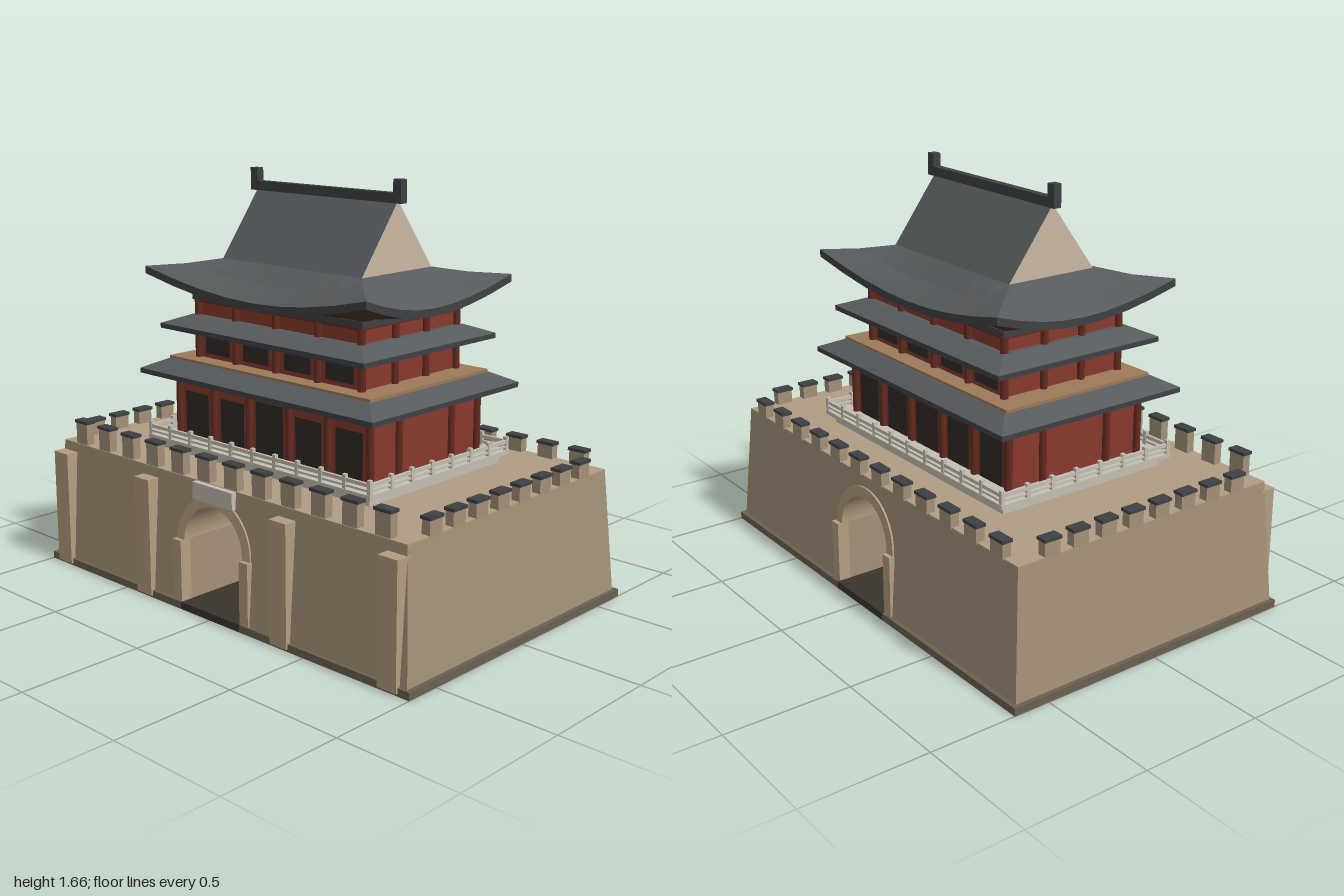
import * as THREE from 'three';

const mat = (color, side = THREE.FrontSide) => new THREE.MeshStandardMaterial({ color, flatShading: true, side });
const M = {
  wall: mat(0xa39178), trim: mat(0xb39e80), plinth: mat(0x6a604f), paving: mat(0x3a342c),
  deck: mat(0xb09c82), tile: mat(0x585b5d, THREE.DoubleSide), ridge: mat(0x3e4143),
  red: mat(0x873a2b), column: mat(0x642a1f), opening: mat(0x2f2a26), stone: mat(0xc4bfb2),
  soffit: mat(0x4a3425, THREE.DoubleSide), gable: mat(0xcab8a2), ledge: mat(0x9c7a58),
};

export function createModel() {
  const root = new THREE.Group();
  const add = (name, geo, material, parent = root) => {
    const m = new THREE.Mesh(geo, material);
    m.name = name;
    parent.add(m);
    return m;
  };
  const group = (name) => {
    const g = new THREE.Group();
    g.name = name;
    root.add(g);
    return g;
  };
  // Box given by centre x, z, its bottom and top, and its size in x and z
  const box = (name, x, z, y0, y1, w, d, material, parent) => {
    const m = add(name, new THREE.BoxGeometry(w, y1 - y0, d), material, parent);
    m.position.set(x, (y0 + y1) / 2, z);
    return m;
  };
  // Rectangular loop; lift raises and flare pushes out the corners
  const ring = (hx, hz, y, lift = 0, flare = 0, n = 8) => {
    const pts = [];
    for (let k = 0; k < 4; k++) for (let j = 0; j < n; j++) {
      const t = -1 + 2 * j / n, f = 1 + flare * t * t, Y = y + lift * t * t;
      const [x, z] = [[t * hx, hz], [hx, -t * hz], [-t * hx, -hz], [-hx, t * hz]][k];
      pts.push([x * f, Y, z * f]);
    }
    return pts;
  };
  // Skin between successive loops
  const loft = (rings) => {
    const pos = [];
    for (let r = 0; r + 1 < rings.length; r++) {
      const a = rings[r], b = rings[r + 1], n = a.length;
      for (let i = 0; i < n; i++) {
        const j = (i + 1) % n;
        pos.push(...a[i], ...a[j], ...b[j], ...a[i], ...b[j], ...b[i]);
      }
    }
    const g = new THREE.BufferGeometry();
    g.setAttribute('position', new THREE.Float32BufferAttribute(pos, 3));
    g.computeVertexNormals();
    return g;
  };
  // Extrude a shape through the gatehouse and batter its front and back
  const battered = (shape, proud) => {
    const g = new THREE.ExtrudeGeometry(shape, { depth: 2, bevelEnabled: false, curveSegments: 20 });
    const p = g.attributes.position;
    for (let i = 0; i < p.count; i++) {
      const half = 0.632 + proud - 0.07 * (p.getY(i) - 0.03);
      p.setZ(i, (p.getZ(i) - 1) * half);
    }
    g.computeVertexNormals();
    return g;
  };
  const archPath = (path, r, y0) => {
    path.moveTo(-r, y0);
    path.lineTo(-r, 0.28);
    path.absarc(0, 0.28, r, Math.PI, 0, true);
    path.lineTo(r, y0);
    path.closePath();
    return path;
  };

  // Masonry base with a vaulted passage
  for (const s of [-1, 1]) box('plinth', s * 0.5825, -0.003, 0, 0.03, 0.835, 1.294, M.plinth);
  box('passagePaving', 0, -0.003, 0, 0.03, 0.33, 1.294, M.paving);
  const body = new THREE.Shape();
  body.moveTo(-0.982, 0.03);
  body.lineTo(-0.165, 0.03);
  body.lineTo(-0.165, 0.28);
  body.absarc(0, 0.28, 0.165, Math.PI, 0, true);
  body.lineTo(0.165, 0.03);
  body.lineTo(0.982, 0.03);
  body.lineTo(0.945, 0.525);
  body.lineTo(-0.945, 0.525);
  body.closePath();
  add('baseWall', battered(body, 0), M.wall);
  box('deck', 0, 0, 0.522, 0.53, 1.89, 1.195, M.deck);

  // Arch surround, door jambs, buttresses and blank panel
  const arch = new THREE.Shape();
  arch.moveTo(-0.205, 0.28);
  arch.absarc(0, 0.28, 0.205, Math.PI, 0, true);
  arch.lineTo(0.163, 0.28);
  arch.absarc(0, 0.28, 0.163, 0, Math.PI, false);
  arch.closePath();
  add('archSurround', battered(arch, 0.008), M.trim);
  for (const s of [-1, 1]) for (const f of [-1, 1])
    box('archJamb', s * 0.187, f * 0.615, 0.03, 0.28, 0.046, 0.05, M.trim);
  for (const x of [-0.905, -0.38, 0.38, 0.905]) box('buttress', x, 0.615, 0.01, 0.49, 0.087, 0.074, M.trim);
  box('archPanel', 0, 0.605, 0.46, 0.528, 0.22, 0.03, M.stone);

  // Battlements
  const walls = group('battlements');
  const merlon = (x, z, w, d, top) => {
    box('merlon', x, z, 0.525, top - 0.012, w, d, M.wall, walls);
    box('merlonCap', x, z, top - 0.012, top, w + 0.01, d + 0.008, M.ridge, walls);
  };
  for (let i = 0; i < 12; i++) {
    const x = -0.832 + i * 1.664 / 11;
    merlon(x, 0.576, 0.07, 0.036, 0.63);
    merlon(x, -0.585, 0.07, 0.036, 0.597);
  }
  for (let i = 0; i < 8; i++) for (const s of [-1, 1])
    merlon(s * 0.928, -0.448 + i * 0.128, 0.036, 0.068, 0.597);

  // Stone terrace and balustrade
  const terrace = group('terrace');
  box('terraceSlab', 0, 0, 0.53, 0.58, 1.17, 0.77, M.stone, terrace);
  const bx = 0.605, bz = 0.405;
  box('terraceStep', 0, 0, 0.565, 0.582, 2 * bx + 0.02, 2 * bz + 0.02, M.stone, terrace);
  const post = (x, z) => box('balusterPost', x, z, 0.58, 0.637, 0.016, 0.016, M.stone, terrace);
  for (const s of [-1, 1]) {
    for (const [y, h] of [[0.61, 0.014], [0.592, 0.008]]) {
      box('handrail', 0, s * bz, y, y + h, 2 * bx, 0.012, M.stone, terrace);
      box('handrail', s * bx, 0, y, y + h, 0.012, 2 * bz, M.stone, terrace);
    }
    for (let i = 0; i <= 10; i++) post(-bx + i * bx / 5, s * bz);
    for (let i = 1; i < 7; i++) post(s * bx, -bz + i * bz * 2 / 7);
  }

  // Storeys: walls, columns and openings
  const storey = (name, hx, hz, y0, y1, colX, colZ, openings) => {
    const g = group(name);
    box('hallWall', 0, 0, y0, y1, 2 * hx, 2 * hz, M.red, g);
    const column = (x, z) => {
      const c = add('column', new THREE.CylinderGeometry(0.015, 0.015, y1 - y0, 10), M.column, g);
      c.position.set(x, (y0 + y1) / 2, z);
    };
    for (const s of [-1, 1]) {
      for (const x of colX) column(x, s * (hz + 0.006));
      for (const z of colZ) column(s * (hx + 0.006), z);
      for (const [x, w, b, t] of openings) box('opening', x, s * hz, b, t, w, 0.012, M.opening, g);
    }
    box('lintel', 0, 0, y1 - 0.014, y1, 2 * hx + 0.03, 2 * hz + 0.03, M.column, g);
  };
  const lowX = [-0.525, -0.315, -0.11, 0.11, 0.315, 0.525];
  const upX = [-0.445, -0.225, 0, 0.225, 0.445];
  const upZ = [-0.275, -0.09, 0.09, 0.275];
  storey('lowerHall', 0.52, 0.31, 0.58, 0.85, lowX, [-0.315, -0.155, 0.155, 0.315],
    [-0.42, -0.21, 0, 0.21, 0.42].map((x) => [x, x ? 0.135 : 0.15, 0.585, x ? 0.77 : 0.795]));
  storey('middleHall', 0.44, 0.27, 0.9, 1.045, upX, upZ,
    [-0.335, -0.115, 0.115, 0.335].map((x) => [x, 0.14, 0.932, 1.032]));
  storey('upperHall', 0.44, 0.27, 1.07, 1.155, upX, upZ, []);
  box('topBeam', 0, 0, 1.15, 1.176, 0.925, 0.585, M.ridge);

  // Two straight eave skirts
  const skirt = (name, hx, hz, y0, ix, iz, y1) => {
    const g = group(name);
    const r = (x, z, y) => ring(x, z, y, 0, 0, 1);
    add('tiles', loft([r(hx, hz, y0 + 0.02), r(ix, iz, y1), r(0.3, 0.15, y1)]), M.tile, g);
    add('eaveEdge', loft([r(hx, hz, y0), r(hx, hz, y0 + 0.02)]), M.ridge, g);
    add('soffit', loft([r(0.3, 0.15, y0), r(hx, hz, y0)]), M.soffit, g);
  };
  skirt('lowerEave', 0.638, 0.43, 0.84, 0.545, 0.35, 0.903);
  box('balconyLedge', 0, 0, 0.9, 0.913, 1.1, 0.69, M.ledge);
  skirt('middleEave', 0.555, 0.385, 1.032, 0.465, 0.295, 1.088);

  // Hip-and-gable top roof with upswept corners
  const roof = group('topRoof');
  const eaveLow = ring(0.565, 0.4, 1.172, 0.083, 0.055);
  const eaveTop = ring(0.565, 0.4, 1.202, 0.083, 0.055);
  add('roofSkirt', loft([eaveTop, ring(0.465, 0.295, 1.25, 0.045, 0.03), ring(0.375, 0.2, 1.315)]), M.tile, roof);
  add('eaveEdge', loft([eaveLow, eaveTop]), M.ridge, roof);
  add('soffit', loft([ring(0.45, 0.28, 1.172), eaveLow]), M.soffit, roof);
  const tri = new THREE.Shape([[-0.2, 1.315], [0.2, 1.315], [0, 1.585]].map((p) => new THREE.Vector2(...p)));
  const prism = new THREE.ExtrudeGeometry(tri, { depth: 0.75, bevelEnabled: false });
  prism.translate(0, 0, -0.375).rotateY(Math.PI / 2);
  add('gableRoof', prism, [M.gable, M.tile], roof);
  box('ridgeBeam', 0, 0, 1.575, 1.613, 0.8, 0.032, M.ridge, roof);
  for (const s of [-1, 1]) box('ridgeFinial', s * 0.383, 0, 1.575, 1.665, 0.038, 0.034, M.ridge, roof);

  return root;
}
